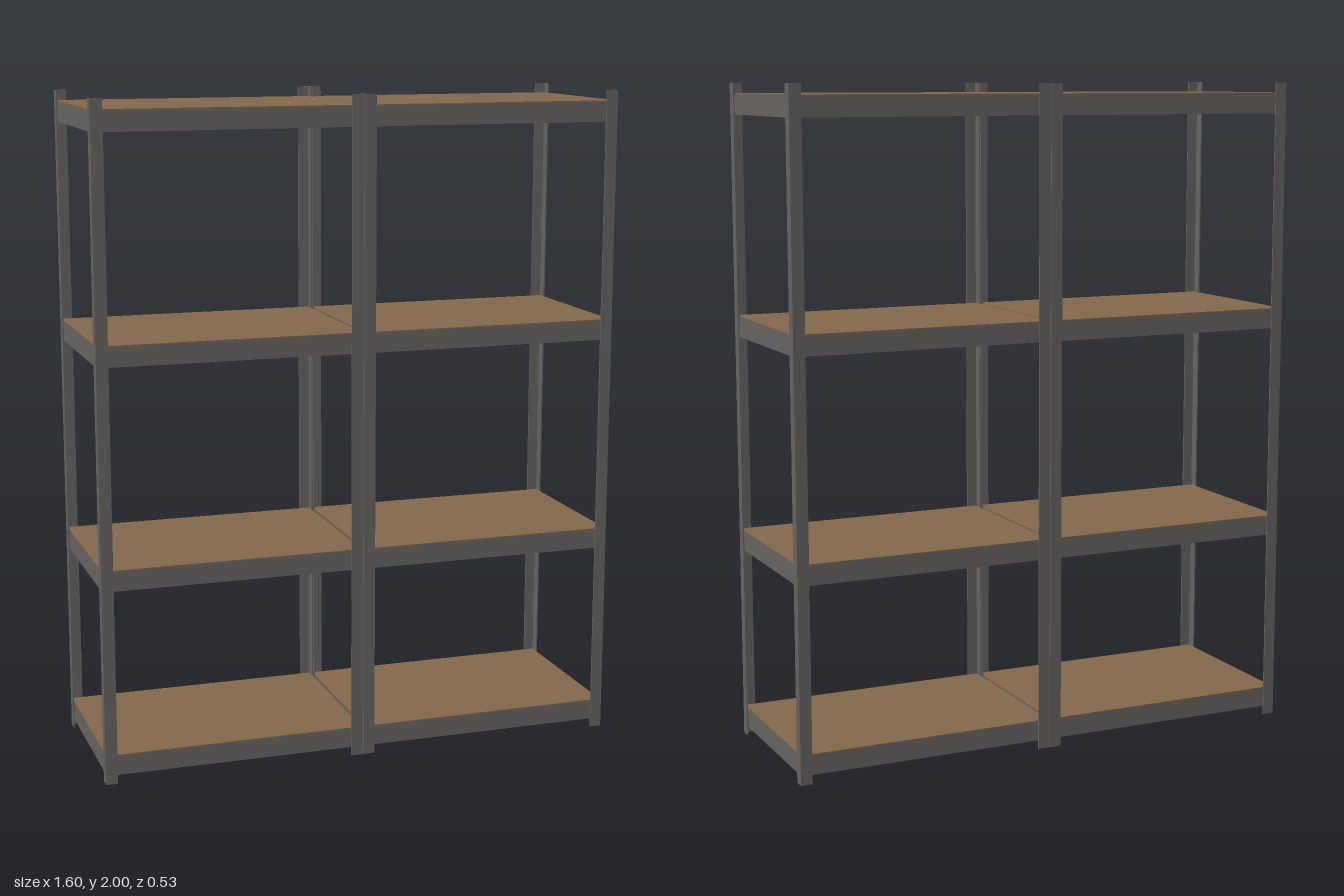
import * as THREE from 'three';

const steel = new THREE.MeshStandardMaterial({ color: 0x686562 });
steel.name = 'grey steel';
const wood = new THREE.MeshStandardMaterial({ color: 0x85694b });
wood.name = 'brown board';

const HEIGHT = 2, BAY = 0.798, DEPTH = 0.534, SHEET = 0.004;
const POST_W = 0.036, POST_D = 0.032, BEAM_H = 0.06, BOARD = 0.006;
const LEVELS = [0.089, 0.651, 1.309, 1.97]; // top of each board

function box(parent, name, size, position, material) {
  const mesh = new THREE.Mesh(new THREE.BoxGeometry(...size), material);
  mesh.name = name;
  mesh.position.set(...position);
  parent.add(mesh);
}

// Angle-section upright with its corner at the outside of the bay
function makePost(sx, sz) {
  const post = new THREE.Group();
  post.name = 'cornerPost';
  const x = sx * BAY / 2, z = sz * DEPTH / 2;
  box(post, 'postFace', [POST_W, HEIGHT, SHEET],
    [x - sx * POST_W / 2, HEIGHT / 2, z - sz * SHEET / 2], steel);
  box(post, 'postSide', [SHEET, HEIGHT, POST_D - SHEET],
    [x - sx * SHEET / 2, HEIGHT / 2, z - sz * (POST_D + SHEET) / 2], steel);
  return post;
}

// Board resting on a rectangular frame of thin beams
function makeShelf(top) {
  const shelf = new THREE.Group();
  shelf.name = 'shelf';
  const w = BAY - 2 * SHEET, d = DEPTH - 2 * SHEET;
  const y = top - 0.003 - BEAM_H / 2;
  for (const s of [-1, 1]) {
    box(shelf, 'longBeam', [w, BEAM_H, SHEET], [0, y, s * (d - SHEET) / 2], steel);
    box(shelf, 'sideBeam', [SHEET, BEAM_H, d - 2 * SHEET], [s * (w - SHEET) / 2, y, 0], steel);
  }
  // The board sits partly inside the frame, its thin top sheet covering the beams
  box(shelf, 'boardTop', [w, 0.003, d], [0, top - 0.0015, 0], wood);
  box(shelf, 'boardCore', [w - 2 * SHEET, BOARD, d - 2 * SHEET],
    [0, top - 0.003 - BOARD / 2, 0], wood);
  return shelf;
}

export function createModel() {
  const model = new THREE.Group();
  model.name = 'shelvingUnit';
  // Two identical bays side by side
  for (const side of [-1, 1]) {
    const bay = new THREE.Group();
    bay.name = side > 0 ? 'leftBay' : 'rightBay';
    bay.position.x = side * (0.001 + BAY / 2);
    for (const sx of [-1, 1]) for (const sz of [-1, 1]) bay.add(makePost(sx, sz));
    for (const top of LEVELS) bay.add(makeShelf(top));
    model.add(bay);
  }
  return model;
}
